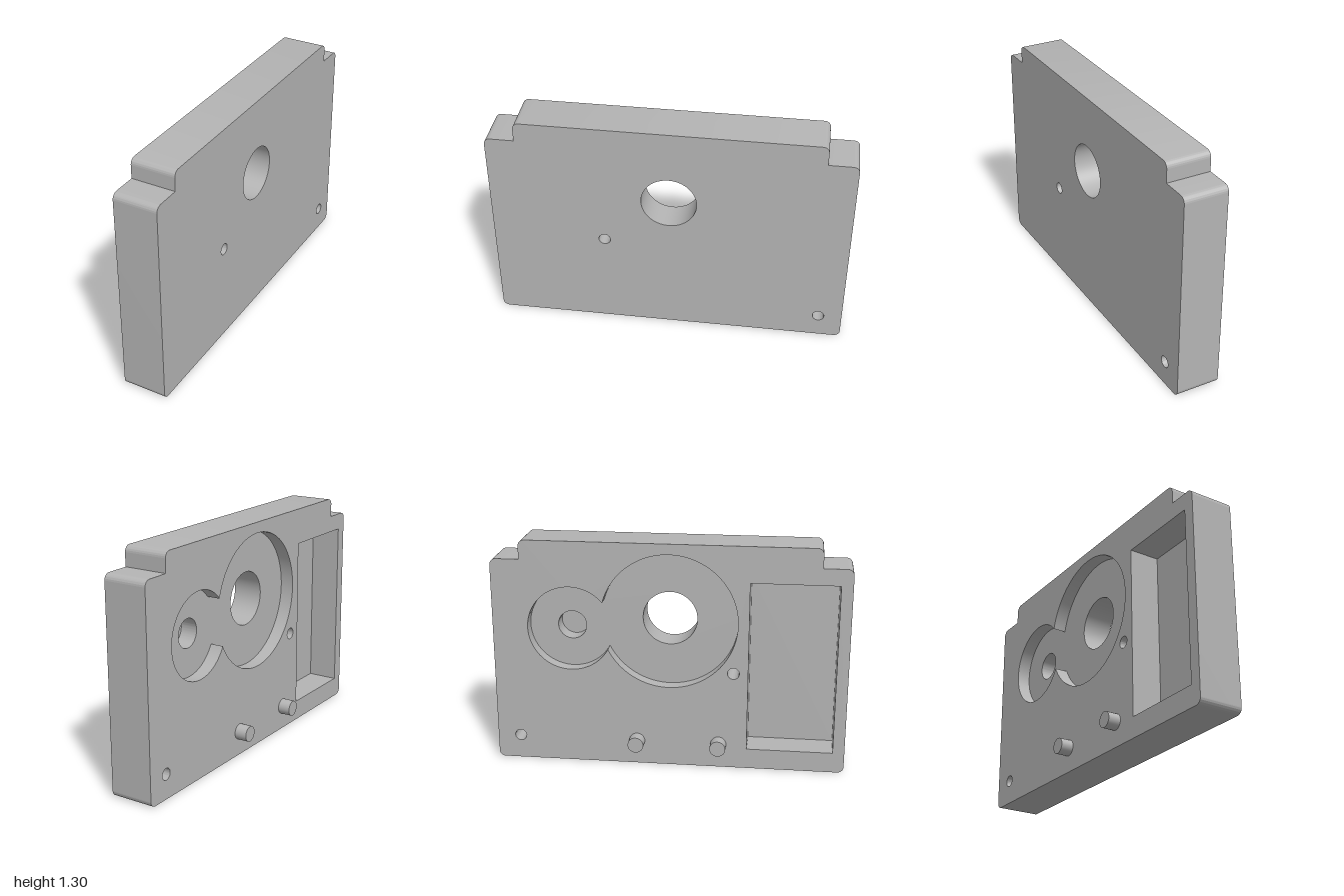
import * as THREE from 'three';
import { toCreasedNormals } from 'three/addons/utils/BufferGeometryUtils.js';

const SEG = 40;
// Depth levels along x: open side, shallow floor, deep floor, flat side
const OPEN = -0.09, SHALLOW = -0.013, DEEP = 0.087, FLAT = 0.16;

// Profiles are drawn as (u, y) with u = -z
function circle(z, y, r) {
  const s = new THREE.Shape();
  s.absarc(-z, y, r, 0, Math.PI * 2, false);
  return s;
}

// Plate outline with a raised middle and rounded corners
function plateOutline() {
  const s = new THREE.Shape(), r = 0.035, q = Math.PI / 2;
  const w = 1, n = 0.835, h = 1.195, top = 1.305;
  s.absarc(w - r, r, r, -q, 0, false);
  s.absarc(w - r, h - r, r, 0, q, false);
  s.lineTo(n, h);
  s.absarc(n - r, top - r, r, 0, q, false);
  s.absarc(-n + r, top - r, r, q, 2 * q, false);
  s.lineTo(-n, h);
  s.absarc(-w + r, h - r, r, q, 2 * q, false);
  s.absarc(-w + r, r, r, 2 * q, 3 * q, false);
  s.closePath();
  return s;
}

// Union of two overlapping circles
function doubleCircle(ax, ay, R, bx, by, r) {
  const d = Math.hypot(bx - ax, by - ay), phi = Math.atan2(by - ay, bx - ax);
  const a = Math.acos((d * d + R * R - r * r) / (2 * d * R));
  const b = Math.acos((d * d + r * r - R * R) / (2 * d * r));
  const s = new THREE.Shape();
  s.absarc(ax, ay, R, phi + a, phi - a + Math.PI * 2, false);
  s.absarc(bx, by, r, phi + Math.PI + b, phi + Math.PI * 3 - b, false);
  s.closePath();
  return s;
}

function rectangle(u0, u1, y0, y1) {
  return new THREE.Shape([[u0, y0], [u1, y0], [u1, y1], [u0, y1]].map(p => new THREE.Vector2(...p)));
}

// Side wall swept along a closed profile; inward walls line a hole
function wall(shape, x0, x1, inward) {
  const pts = shape.getPoints(SEG), pos = [];
  if (THREE.ShapeUtils.isClockWise(pts) !== inward) pts.reverse();
  pts.forEach((p, i) => {
    const q = pts[(i + 1) % pts.length];
    if (p.distanceTo(q) < 1e-6) return;
    pos.push(p.x, p.y, x0, q.x, q.y, x0, q.x, q.y, x1);
    pos.push(p.x, p.y, x0, q.x, q.y, x1, p.x, p.y, x1);
  });
  const g = new THREE.BufferGeometry();
  g.setAttribute('position', new THREE.Float32BufferAttribute(pos, 3));
  return toCreasedNormals(g, 0.6).rotateY(Math.PI / 2);
}

// Flat face at depth x with holes, facing +x or -x
function face(shape, holes, x, side) {
  const s = shape.clone();
  s.holes = holes;
  const g = new THREE.ShapeGeometry(s, SEG);
  if (side < 0) {
    g.index.array.reverse();
    const n = g.attributes.normal;
    for (let i = 0; i < n.count; i++) n.setZ(i, -1);
  }
  return g.translate(0, 0, x).rotateY(Math.PI / 2);
}

export function createModel() {
  const model = new THREE.Group();
  const grey = new THREE.MeshStandardMaterial({ color: 0xb4b4b4 });
  grey.name = 'plainGrey';
  const add = (name, geometry) => {
    const m = new THREE.Mesh(geometry, grey);
    m.name = name;
    model.add(m);
    return m;
  };

  const outline = plateOutline();
  const bore = circle(0, 0.862, 0.153);
  const blind = circle(-0.557, 0.803, 0.081);
  const screwHoles = [circle(0.364, 0.573, 0.033), circle(-0.867, 0.14, 0.033)];
  const gearPocket = doubleCircle(0, 0.86, 0.385, 0.557, 0.803, 0.242);
  const boxPocket = rectangle(-0.934, -0.446, 0.118, 1.1);

  // Plate body
  add('plateRim', wall(outline, OPEN, FLAT, false));
  add('plateFlatFace', face(outline, [bore, ...screwHoles], FLAT, 1));
  add('platePocketFace', face(outline, [gearPocket, boxPocket, ...screwHoles], OPEN, -1));

  // Shallow double-circle pocket
  add('gearPocketWall', wall(gearPocket, OPEN, SHALLOW, true));
  add('gearPocketFloor', face(gearPocket, [bore, blind], SHALLOW, -1));

  // Deep rectangular pocket
  add('boxPocketWall', wall(boxPocket, OPEN, DEEP, true));
  add('boxPocketFloor', face(boxPocket, [], DEEP, -1));

  // Through bore, blind hole and screw holes
  add('boreWall', wall(bore, SHALLOW, FLAT, true));
  add('blindHoleWall', wall(blind, SHALLOW, DEEP, true));
  add('blindHoleFloor', face(blind, [], DEEP, -1));
  screwHoles.forEach(h => add('screwHoleWall', wall(h, OPEN, FLAT, true)));

  // Locating pegs
  for (const z of [-0.183, 0.285]) {
    const peg = add('peg', new THREE.CylinderGeometry(0.045, 0.045, 0.08, 40));
    peg.rotation.z = Math.PI / 2;
    peg.position.set(-0.122, 0.14, z);
  }
  return model;
}
